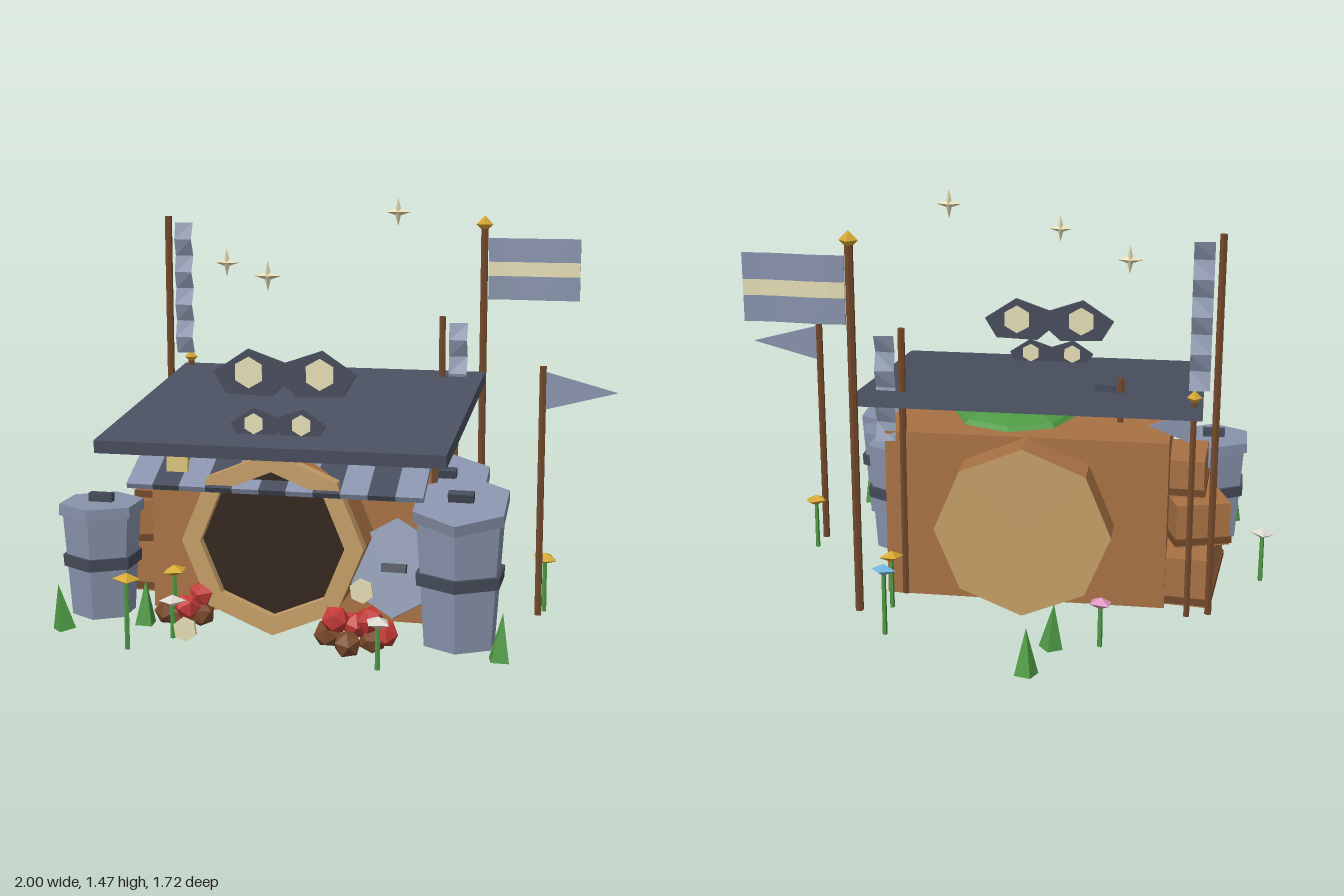
import * as THREE from 'three';

const C = {
  wood: 0xa87244, darkWood: 0x72482a, tan: 0xc49c66, black: 0x33261d, roof: 0x4a5060, slate: 0x454b5a,
  steel: 0x8792aa, cream: 0xe4dcb4, gold: 0xd6a832, green: 0x4f9a45, red: 0xc23a36, rust: 0x7a4a2c,
  white: 0xdcd8d0, pink: 0xe29ac4, blue: 0x74b8e2, yellow: 0xdcc47c,
};
const mats = {};
function mat(color) {
  return (mats[color] ??= new THREE.MeshStandardMaterial({ color, flatShading: true, side: THREE.DoubleSide }));
}

export function createModel() {
  const root = new THREE.Group();
  const add = (name, geo, color, pos = [0, 0, 0], rot = [0, 0, 0], parent = root) => {
    const m = new THREE.Mesh(geo, mat(color));
    m.name = name;
    m.position.set(...pos);
    m.rotation.set(...rot);
    parent.add(m);
    return m;
  };
  const group = (name, x, y, z) => {
    const g = new THREE.Group();
    g.name = name;
    g.position.set(x, y, z);
    root.add(g);
    return g;
  };
  const box = (w, h, d) => new THREE.BoxGeometry(w, h, d);
  const cyl = (rt, rb, h, n, open = false) => new THREE.CylinderGeometry(rt, rb, h, n, 1, open);
  const outline = (pts) => new THREE.Shape(pts.map(([x, y]) => new THREE.Vector2(x, y)));
  const slab = (shape, depth) =>
    new THREE.ExtrudeGeometry(shape, { depth, bevelEnabled: false }).translate(0, 0, -depth / 2);
  const ngon = (n, r) =>
    Array.from({ length: n }, (_, i) => [r * Math.cos((i * 2 * Math.PI) / n), r * Math.sin((i * 2 * Math.PI) / n)]);
  const Q = Math.PI / 2;

  // Hut: walls, sloped roof, moss
  add('walls', box(1, 0.62, 0.66), C.wood, [-0.12, 0.33, 0.02]);
  add('roof', box(1.2, 0.045, 1.01), C.roof, [-0.13, 0.712, 0.115], [0.124, 0, 0]);
  const moss = add('moss', new THREE.SphereGeometry(0.23, 8, 4, 0, 2 * Math.PI, 0, Q), C.green, [-0.05, 0.635, -0.04]);
  moss.scale.y = 0.24;

  // Barrel running through the hut, with a round doorway in front
  add('barrel', cyl(0.31, 0.31, 0.98, 8, true), C.wood, [-0.125, 0.33, 0.05], [Q, 0, 0]);
  add('barrelBack', new THREE.CircleGeometry(0.31, 8), C.tan, [-0.125, 0.33, -0.44], [0, Math.PI, 0]);
  const ring = outline(ngon(8, 0.315));
  ring.holes.push(outline(ngon(8, 0.25)));
  add('doorRing', slab(ring, 0.05), C.tan, [-0.125, 0.33, 0.545]);
  add('doorway', new THREE.CircleGeometry(0.27, 8), C.black, [-0.125, 0.33, 0.535]);

  // Striped awning and paper notices
  const awning = group('awning', -0.12, 0.57, 0.465);
  awning.rotation.x = 0.48;
  for (let i = 0; i < 11; i++) {
    add('awningStripe', box(1.02 / 11, 0.02, 0.255), i % 2 ? C.slate : C.steel, [((i - 5) * 1.02) / 11, 0, 0], [0, 0, 0], awning);
  }
  add('windowNote', box(0.075, 0.07, 0.015), C.yellow, [-0.47, 0.575, 0.51]);
  for (const [x, y, z] of [[-0.39, 0.06, 0.7], [0.19, 0.2, 0.6]]) {
    add('paperDisc', cyl(0.042, 0.042, 0.012, 6), C.cream, [x, y, z], [Q, 0.15, 0]);
  }

  // Masks standing on the roof
  const maskShape = outline([[-0.25, 0], [-0.13, 0.08], [0, 0.035], [0.13, 0.08], [0.25, 0], [0.205, -0.075],
    [0.045, -0.08], [0, -0.04], [-0.045, -0.08], [-0.205, -0.075]]);
  for (const [y, z, s] of [[0.885, 0.38, 1], [0.725, 0.475, 0.66]]) {
    const mask = group('mask', -0.125, y, z);
    mask.scale.setScalar(s);
    add('maskPlate', slab(maskShape, 0.02), C.slate, [0, 0, 0], [0, 0, 0], mask);
    for (const side of [-1, 1]) {
      add('maskEye', cyl(0.055, 0.055, 0.026, 6), C.cream, [side * 0.125, 0, 0], [Q, 0, 0], mask);
    }
  }

  // Lidded bins
  function lid(parent, r, y, tilt, z = 0) {
    const g = new THREE.Group();
    g.name = 'lid';
    g.position.set(0, y, z);
    g.rotation.x = tilt;
    parent.add(g);
    add('lidPlate', cyl(r, r, 0.04, 6), C.steel, [0, 0, 0], [0, 0, 0], g);
    add('lidHandle', box(0.085, 0.03, 0.03), C.slate, [0, 0.035, 0], [0, 0, 0], g);
  }
  for (const [x, z, s, h, tilt] of [[0.507, 0.517, 1, 0.42, 0.28], [0.4, 0.165, 1, 0.42, 0.28], [-0.775, 0.445, 0.87, 0.36, 0]]) {
    const bin = group('bin', x, 0.02, z);
    add('binBody', cyl(0.157 * s, 0.128 * s, h, 6), C.steel, [0, h / 2, 0], [0, 0, 0], bin);
    add('binBand', cyl(0.16 * s, 0.157 * s, 0.042, 6), C.slate, [0, h * 0.55, 0], [0, 0, 0], bin);
    lid(bin, 0.172 * s, h + (tilt ? 0.045 : 0.02), tilt);
  }
  lid(group('leaningLid', 0.27, 0.23, 0.41), 0.17, 0, 1.3);

  // Stacked crates on the left side
  const crates = [[-0.7, 0.11, -0.05, 0.2, 0.18, 0.46, -0.1], [-0.7, 0.28, 0.0, 0.2, 0.16, 0.32, 0.3], [-0.68, 0.43, 0.03, 0.14, 0.14, 0.24, -0.05]];
  for (const [x, y, z, w, h, d, a] of crates) {
    add('crate', box(w, h, d), C.wood, [x, y, z], [0, a, 0]);
    add('crateRim', box(w + 0.012, 0.025, d + 0.012), C.darkWood, [x, y - h / 2 + 0.02, z], [0, a, 0]);
  }

  // Poles with optional gold tips
  const poles = [[0.45, -0.47, 0.02, 1.34, 0.015, 0.033], [0.735, 0.165, 0.02, 0.905, 0.013, 0], [-0.775, -0.33, 0.02, 1.38, 0.014, 0],
    [-0.7, -0.36, 0.02, 0.81, 0.012, 0.026], [0.315, -0.305, 0.02, 1.015, 0.013, 0], [-0.44, -0.15, 0.66, 0.82, 0.013, 0]];
  for (const [x, z, y0, y1, r, tip] of poles) {
    add('pole', cyl(r, r, y1 - y0, 6), C.darkWood, [x, (y0 + y1) / 2, z]);
    if (tip) add('poleTip', new THREE.OctahedronGeometry(tip), C.gold, [x, y1 + 0.015, z]);
  }

  // Flag of three bands, gently waved
  for (const [y, h, color] of [[1.257, 0.09, C.steel], [1.185, 0.055, C.cream], [1.112, 0.09, C.steel]]) {
    const g = new THREE.BoxGeometry(0.35, h, 0.008, 6, 1, 1);
    const p = g.attributes.position;
    for (let i = 0; i < p.count; i++) p.setZ(i, p.getZ(i) + 0.006 * Math.sin(p.getX(i) * 16));
    add('flagBand', g, color, [0.642, y, -0.47]);
  }

  // Pennants
  const pennant = (x, y, z, w, h, color) =>
    add('pennant', slab(outline([[0, h / 2], [w, 0], [0, -h / 2]]), 0.008), color, [x, y, z]);
  pennant(0.745, 0.82, 0.162, 0.245, 0.13, C.steel);
  pennant(-0.69, 0.72, -0.36, 0.14, 0.11, C.steel);
  add('roofTag', box(0.075, 0.025, 0.008), C.slate, [-0.385, 0.782, -0.155], [0, -0.15, 0]);

  // Hanging streamers, folded back and forth
  for (const [x, top, z, n] of [[-0.715, 1.355, -0.33, 8], [0.375, 0.99, -0.31, 6]]) {
    const g = new THREE.PlaneGeometry(0.07, n * 0.064, 1, n);
    const p = g.attributes.position;
    for (let i = 0; i < p.count; i++) p.setZ(i, ((i >> 1) % 2 ? 1 : -1) * (i % 2 ? 0.014 : 0.008));
    add('streamer', g, C.steel, [x, top - n * 0.032, z]);
  }

  // Four-pointed sparkles
  const star = new THREE.SphereGeometry(1, 8, 2);
  const sp = star.attributes.position;
  for (let i = 0; i < sp.count; i++) {
    const x = sp.getX(i), z = sp.getZ(i);
    const k = Math.abs(x * z) > 0.1 ? 0.32 : 1;
    sp.setXYZ(i, x * k * 0.045, z * k * 0.052, -sp.getY(i) * 0.018);
  }
  for (const [x, y, z] of [[-0.455, 1.225, -0.05], [-0.155, 1.225, 0.478], [0.18, 1.415, -0.092]]) {
    add('sparkle', star, C.cream, [x, y, z]);
  }

  // Flowers
  const flowers = [[-0.965, 0.2, 0, C.white], [-0.415, 0.17, -0.615, C.pink], [0.325, 0.25, -0.625, C.blue], [0.345, 0.205, -0.41, C.gold],
    [0.75, 0.205, 0.085, C.gold], [-0.56, 0.25, 0.79, C.gold], [0.285, 0.165, 0.81, C.white], [-0.45, 0.14, 0.65, C.white],
    [-0.475, 0.215, 0.55, C.gold]];
  flowers.forEach(([x, y, z, color], i) => {
    add('flowerStem', cyl(0.008, 0.009, y - 0.01, 5), C.green, [x, (y + 0.01) / 2, z]);
    add('flowerHead', new THREE.OctahedronGeometry(0.046), color, [x, y, z], [0.08, i * 0.7, 0.1]).scale.y = 0.45;
  });

  // Grass spikes
  const spikes = [[-0.865, 0.615, 0.1], [0.655, 0.62, -0.12], [-0.19, -0.825, 0.05], [-0.255, -0.63, -0.06], [-0.6, 0.5, 0.05]];
  spikes.forEach(([x, z, lean], i) => {
    add('grassSpike', new THREE.ConeGeometry(0.042, 0.16, 4), C.green, [x, 0.082, z], [0.05, i, lean]);
  });

  // Berry clumps beside the doorway
  const red = [[0.13, 0.14, 0.73], [0.24, 0.14, 0.71], [0.185, 0.11, 0.68], [0.28, 0.08, 0.66], [-0.375, 0.14, 0.55], [-0.42, 0.1, 0.58]];
  const brown = [[0.09, 0.07, 0.67], [0.17, 0.06, 0.73], [0.24, 0.06, 0.67], [-0.5, 0.07, 0.55], [-0.44, 0.06, 0.56], [-0.38, 0.07, 0.55]];
  const berry = new THREE.IcosahedronGeometry(0.048);
  red.forEach((p, i) => add('redBerry', berry, C.red, p, [i, i * 2, 0]));
  brown.forEach((p, i) => add('brownBerry', berry, C.rust, p, [i * 2, i, 0]));

  return root;
}
